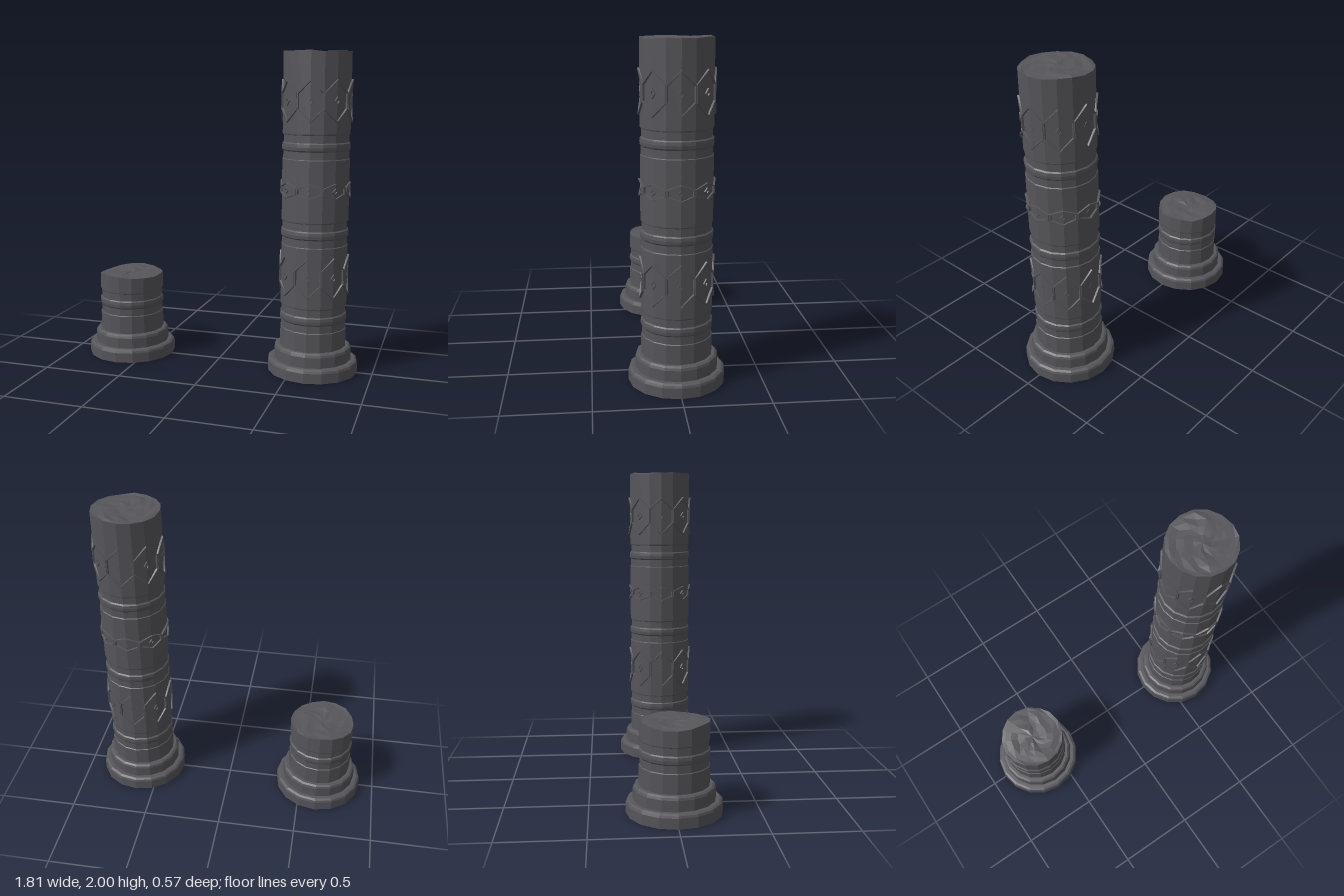
import * as THREE from 'three';
import { mergeGeometries } from 'three/addons/utils/BufferGeometryUtils.js';

const SIDES = 16;
const SHAFT_R = 0.208;
const stone = new THREE.MeshStandardMaterial({ color: 0x56565b, flatShading: true });

// Repeatable pseudo-random value in 0..1
const noise = (a, b, c) => {
  const s = Math.sin(a * 127.1 + b * 311.7 + c * 74.7) * 43758.5453;
  return s - Math.floor(s);
};

// Broken stone height: a gentle wave towards the rim plus small chips
function breakHeight(top, seed, radius, side) {
  const s = radius === 0 ? 0 : side % SIDES;
  const a = (s / SIDES) * Math.PI * 2;
  const wave = (radius / SHAFT_R) * (0.5 * Math.sin(2 * a + seed) + 0.3 * Math.sin(3 * a + seed * 2));
  return top - 0.014 + 0.012 * wave - 0.01 * noise(radius * 50, s, seed);
}

function lathe(profile) {
  return new THREE.LatheGeometry(profile.map(([r, y]) => new THREE.Vector2(r, y)), SIDES);
}

function part(name, geometry) {
  const mesh = new THREE.Mesh(geometry, stone);
  mesh.name = name;
  return mesh;
}

// Two-step base with rounded upper edges
function plinth() {
  return part('plinth', lathe([
    [0, 0], [0.285, 0], [0.285, 0.062], [0.28, 0.075], [0.266, 0.083], [0.243, 0.083],
    [0.243, 0.148], [0.238, 0.162], [0.226, 0.17], [0.2, 0.17],
  ]));
}

// Shaft with a ring moulding at each joint and an uneven upper rim
function shaft(top, seed) {
  const profile = [[SHAFT_R, 0.165]];
  for (let y = 0.285; y + 0.2 < top; y += 0.53) {
    profile.push(
      [SHAFT_R, y], [0.203, y + 0.004], [0.203, y + 0.05],
      [0.209, y + 0.058], [0.211, y + 0.077], [0.209, y + 0.096], [0.201, y + 0.103],
      [0.201, y + 0.148], [0.206, y + 0.15], [SHAFT_R, y + 0.156]);
  }
  profile.push([SHAFT_R, top]);
  const geo = lathe(profile);
  const n = profile.length;
  for (let s = 0; s <= SIDES; s++) {
    geo.attributes.position.setY(s * n + n - 1, breakHeight(top, seed, SHAFT_R, s));
  }
  return part('shaft', geo);
}

// Rough fractured face closing the shaft
function brokenTop(top, seed) {
  const radii = [SHAFT_R, 0.185, 0.145, 0.1, 0.05, 0];
  const geo = lathe(radii.map(r => [r, top]));
  for (let s = 0; s <= SIDES; s++) {
    radii.forEach((r, ring) =>
      geo.attributes.position.setY(s * radii.length + ring, breakHeight(top, seed, r, s)));
  }
  return part('brokenTop', geo);
}

// Point on the faceted shaft: u counts sides around from the front
function onShaft(u, y, r) {
  const k = Math.floor(u), t = u - k, step = (Math.PI * 2) / SIDES;
  const a = k * step, b = (k + 1) * step;
  return [
    r * (Math.sin(a) * (1 - t) + Math.sin(b) * t), y,
    r * (Math.cos(a) * (1 - t) + Math.cos(b) * t),
  ];
}

// Raised outline: loops of the same corners, each with its own scale and radius
function raisedOutline(corners, u0, y0, loops) {
  const n = corners.length, pos = [], idx = [];
  for (const [scale, r] of loops) {
    for (const [u, y] of corners) pos.push(...onShaft(u0 + u * scale, y0 + y * scale, r));
  }
  for (let l = 0; l < loops.length - 1; l++) {
    for (let i = 0; i < n; i++) {
      const j = (i + 1) % n, a = l * n, b = a + n;
      idx.push(a + i, a + j, b + j, a + i, b + j, b + i);
    }
  }
  const geo = new THREE.BufferGeometry();
  geo.setAttribute('position', new THREE.Float32BufferAttribute(pos, 3));
  geo.setIndex(idx);
  geo.computeVertexNormals();
  return geo;
}

// Band of eight hexagon frames, each with a small diamond in the middle
function hexagonBand(y, halfHeight, sideHeight, diamondHeight, frameScale) {
  const hexagon = [
    [0, -halfHeight], [1, -sideHeight], [1, sideHeight],
    [0, halfHeight], [-1, sideHeight], [-1, -sideHeight],
  ];
  const diamond = [[0, -diamondHeight], [0.24, 0], [0, diamondHeight], [-0.24, 0]];
  const frames = [], diamonds = [];
  for (let i = 0; i < 8; i++) {
    frames.push(raisedOutline(hexagon, i * 2, y,
      [[1, 0.206], [0.985, 0.219], [frameScale, 0.219], [frameScale - 0.02, 0.206]]));
    // Every other diamond is worn almost flush with the shaft
    const face = i % 2 ? 0.215 : 0.2095;
    diamonds.push(raisedOutline(diamond, i * 2, y,
      [[1, 0.206], [0.9, face], [0.5, face], [0.4, 0.2085], [0, 0.2085]]));
  }
  const band = new THREE.Group();
  band.name = 'hexagonBand';
  band.add(part('hexagonFrames', mergeGeometries(frames)), part('diamonds', mergeGeometries(diamonds)));
  return band;
}

function column(name, x, top, seed) {
  const group = new THREE.Group();
  group.name = name;
  group.position.x = x;
  group.add(plinth(), shaft(top, seed), brokenTop(top, seed));
  return group;
}

export function createModel() {
  const model = new THREE.Group();
  model.name = 'ruinedColumns';

  const tall = column('tallColumn', 0.62, 2.005, 3);
  tall.add(
    hexagonBand(0.63, 0.13, 0.05, 0.03, 0.9),
    hexagonBand(1.16, 0.05, 0.02, 0.022, 0.84),
    hexagonBand(1.695, 0.13, 0.05, 0.03, 0.9));

  model.add(tall, column('columnStump', -0.62, 0.562, 8));
  return model;
}
